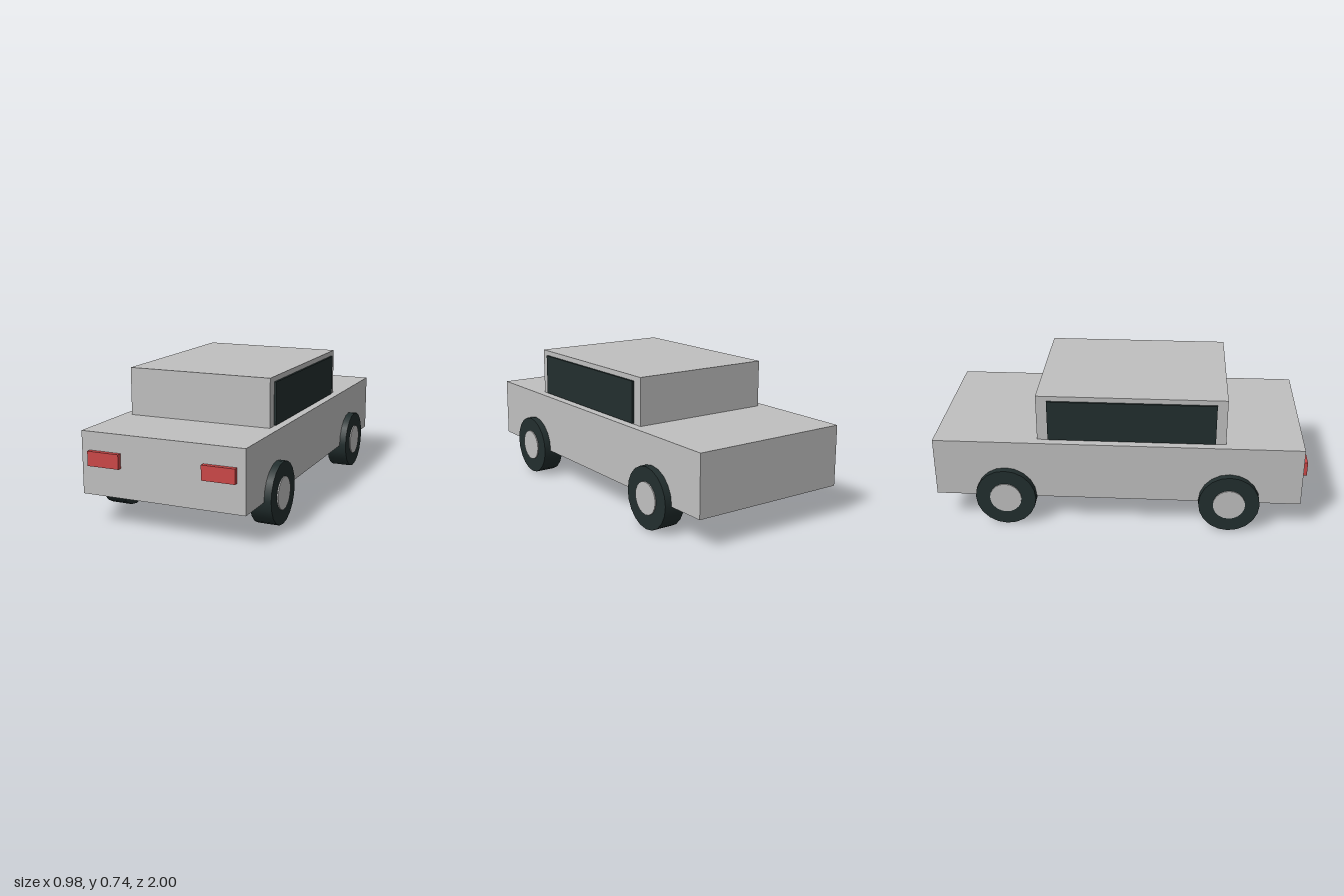
import * as THREE from 'three';

function material(name, color) {
  const m = new THREE.MeshStandardMaterial({ color });
  m.name = name;
  return m;
}

export function createModel() {
  const silver = material('silver', 0xc0c0c0);
  const dark = material('darkSlate', 0x222e2e);
  const red = material('red', 0xcc4848);

  const car = new THREE.Group();
  car.name = 'car';

  // Box given by its minimum and maximum corners
  function box(name, mat, [x0, y0, z0], [x1, y1, z1]) {
    const mesh = new THREE.Mesh(new THREE.BoxGeometry(x1 - x0, y1 - y0, z1 - z0), mat);
    mesh.position.set((x0 + x1) / 2, (y0 + y1) / 2, (z0 + z1) / 2);
    mesh.name = name;
    car.add(mesh);
  }

  // Cylinder lying along x
  function disc(name, mat, radius, width) {
    const geometry = new THREE.CylinderGeometry(radius, radius, width, 20).rotateZ(Math.PI / 2);
    const mesh = new THREE.Mesh(geometry, mat);
    mesh.name = name;
    return mesh;
  }

  // Body and cabin
  box('body', silver, [-0.445, 0.157, -1], [0.445, 0.483, 0.975]);
  box('cabin', silver, [-0.397, 0.483, -0.443], [0.397, 0.738, 0.563]);

  for (const [side, s] of [['left', 1], ['right', -1]]) {
    // Raised side window
    const wx = [0.396 * s, 0.409 * s].sort((a, b) => a - b);
    box(side + 'Window', dark, [wx[0], 0.488, -0.385], [wx[1], 0.711, 0.508]);

    // Front lamp
    const lx = [0.225 * s, 0.4 * s].sort((a, b) => a - b);
    box(side + 'Lamp', red, [lx[0], 0.311, 0.97], [lx[1], 0.387, 1]);

    // Tyres with hubs showing on both faces
    for (const [end, z] of [['Front', 0.59], ['Rear', -0.615]]) {
      const wheel = new THREE.Group();
      wheel.name = side + end + 'Wheel';
      wheel.add(disc('tyre', dark, 0.164, 0.115), disc('hub', silver, 0.086, 0.127));
      wheel.position.set(0.425 * s, 0.164, z);
      car.add(wheel);
    }
  }

  return car;
}
